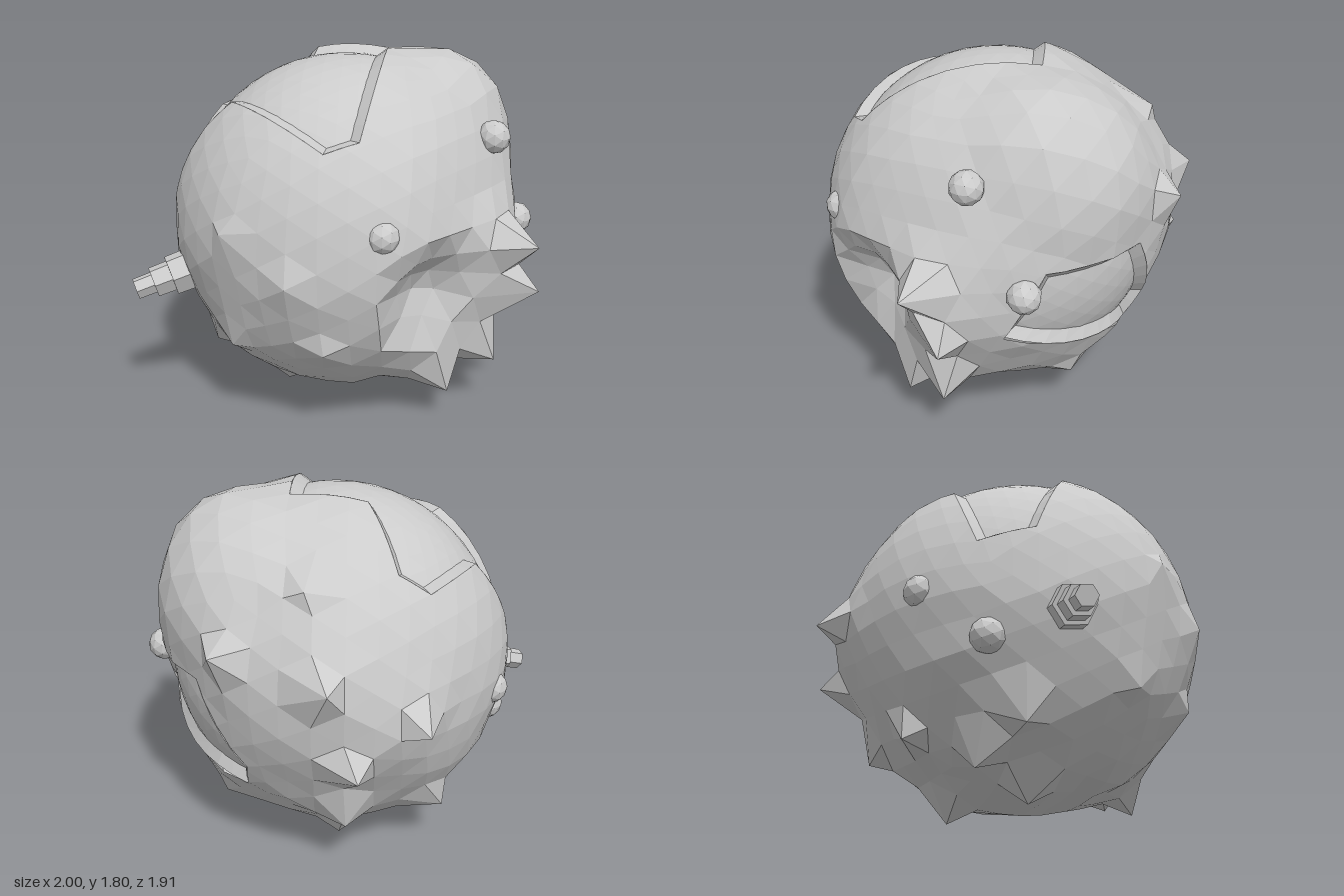
import * as THREE from 'three';
import { mergeVertices } from 'three/addons/utils/BufferGeometryUtils.js';

const V = (x, y, z) => new THREE.Vector3(x, y, z);
const CENTER = V(-0.09, 0.93, 0.03);
const OUTER = 0.88, INNER = 0.828, BEVEL = 0.055;
const mat = new THREE.MeshStandardMaterial({ color: 0xcccccc, flatShading: true, side: THREE.DoubleSide });

// spike tips, in model space
const SPIKES = [
  [1.0, 0.95, 0], [0.94, 0.66, -0.16], [0.75, 0.27, -0.08], [0.63, 0.17, 0.18],
  [-0.31, 0, 0.26], [-0.31, 0, -0.25], [-0.62, 0.1, 0.22], [-0.8, 0.25, -0.06],
  [-0.6, 0.25, 0.5], [-0.2, 0.45, 0.82], [-0.15, 1.06, 0.94], [0.2, 0.86, 0.91],
  [0.3, 0.5, 0.76], [-0.97, 0.9, -0.53], [-0.63, 1.13, -0.84], [-0.74, 0.7, -0.76],
  [-0.4, 1.5, -0.68], [-0.07, 1.2, -0.95], [-0.55, 0.3, -0.56], [0.2, 0.22, -0.53],
].map(p => V(...p).sub(CENTER));

// broad hills and hollows: direction, height, angular reach
const SWELLS = [
  [V(0.38, 0.62, -0.68).normalize(), 0.14, 0.6],
  [V(0.52, 0.76, -0.38).normalize(), 0.05, 0.4],
  [V(-0.5, 0.25, -0.83).normalize(), 0.045, 0.65],
  [V(0.95, 0.25, 0.1).normalize(), -0.045, 0.5],
  [V(0.15, -1, 0.05).normalize(), -0.04, 0.5],
  [V(0.82, -0.22, 0.36).normalize(), -0.2, 0.36],
];

// recess outlines as directions from the centre
const topOutline = [
  [-0.636, -0.386], [-0.307, -0.156], [0.09, -0.31], [0.51, 0.59], [0.38, 0.725],
  [-0.34, 0.59], [-0.69, 0.69], [-0.88, 0.455], [-0.784, 0.182], [-0.773, -0.29],
].map(([x, z]) => V(x, Math.sqrt(1 - x * x - z * z), z));
const backOutline = [
  [0.762, 0.09, -0.639], [0.231, 0.085, -0.969], [-0.053, -0.39, -0.92],
  [0.009, -0.55, -0.839], [0.23, -0.51, -0.845], [0.85, -0.31, -0.44],
].map(p => V(...p).normalize());
const OUTLINES = [topOutline, backOutline];

function swell(d) {
  let h = 0;
  for (const [c, amount, reach] of SWELLS) {
    const t = d.angleTo(c) / reach;
    if (t < 1) h += amount * (1 - t * t) ** 1.4;
  }
  return h;
}

// geodesic ball as merged points and an index
function ball(detail) {
  const g = new THREE.IcosahedronGeometry(1, detail);
  g.deleteAttribute('normal');
  g.deleteAttribute('uv');
  const m = mergeVertices(g, 1e-4), p = m.attributes.position;
  const dirs = Array.from({ length: p.count }, (_, i) => V(0, 0, 0).fromBufferAttribute(p, i).normalize());
  return { dirs, index: Array.from(m.index.array) };
}

function meshFromPolygons(name, polygons) {
  const pts = [];
  for (const p of polygons)
    for (let i = 1; i < p.length - 1; i++) pts.push(p[0], p[i], p[i + 1]);
  const g = new THREE.BufferGeometry().setFromPoints(pts);
  g.computeVertexNormals();
  const mesh = new THREE.Mesh(g, mat);
  mesh.name = name;
  return mesh;
}

function trianglesOf(points, index) {
  const out = [];
  for (let i = 0; i < index.length; i += 3) out.push([0, 1, 2].map(k => points[index[i + k]]));
  return out;
}

// split an outline into triangular cones, each given by three inward plane normals
function conesOf(outline) {
  const mid = outline.reduce((s, d) => s.add(d), V(0, 0, 0)).normalize();
  const u = V(0, 0, 1).cross(mid).normalize(), w = mid.clone().cross(u);
  const flat = outline.map(d => new THREE.Vector2(d.dot(u), d.dot(w)).divideScalar(d.dot(mid)));
  return THREE.ShapeUtils.triangulateShape(flat, []).map(t =>
    [0, 1, 2].map(i => {
      const [a, b, c] = [0, 1, 2].map(k => outline[t[(i + k) % 3]]);
      const n = a.clone().cross(b).normalize();
      return n.dot(c) < 0 ? n.negate() : n;
    }));
}

function clip(poly, n, sign) {
  const out = [];
  poly.forEach((a, i) => {
    const b = poly[(i + 1) % poly.length];
    const da = sign * n.dot(a), db = sign * n.dot(b);
    if (da >= 0) out.push(a);
    if (da * db < 0) out.push(a.clone().lerp(b, da / (da - db)));
  });
  return out.length > 2 ? out : [];
}

// remove a cone from one polygon, returning the remaining pieces
function subtract(poly, cone) {
  const kept = [];
  let rest = poly;
  for (const n of cone) {
    const outside = clip(rest, n, -1);
    if (outside.length) kept.push(outside);
    rest = clip(rest, n, 1);
    if (!rest.length) return [poly];
  }
  return kept;
}

function makeShell() {
  const { dirs, index } = ball(6);
  const tips = SPIKES.map(s => s.clone().normalize());
  const points = dirs.map((d, i) => {
    let r = OUTER + swell(d);
    tips.forEach((t, k) => {
      const a = d.angleTo(t) / 0.3;
      if (a < 1) r += 0.35 * (SPIKES[k].length() - OUTER) * (1 - a);
    });
    // light roughness over the lower half
    if (d.y < 0.15) r += 0.01 * Math.sin(i * 12.9898) * Math.min(1, 0.45 - d.y);
    return d.clone().multiplyScalar(r);
  });
  // pull the nearest point out to each tip
  tips.forEach((t, k) => {
    let best = 0;
    dirs.forEach((d, i) => { if (d.dot(t) > dirs[best].dot(t)) best = i; });
    points[best].copy(SPIKES[k]);
  });
  let polys = trianglesOf(points, index);
  for (const cone of OUTLINES.flatMap(conesOf)) polys = polys.flatMap(p => subtract(p, cone));
  return meshFromPolygons('spikyShell', polys);
}

function makeCore() {
  const { dirs, index } = ball(9);
  const pts = dirs.map(d => d.clone().multiplyScalar(INNER + Math.min(0, swell(d))));
  return meshFromPolygons('innerBall', trianglesOf(pts, index));
}

// move each corner of an outline inward, keeping an even bevel width
function inset(outline) {
  const count = outline.length;
  const normals = outline.map((a, i) => a.clone().cross(outline[(i + 1) % count]));
  const mid = outline.reduce((s, d) => s.add(d), V(0, 0, 0));
  const turn = Math.sign(normals.reduce((s, n) => s + n.dot(mid), 0));
  normals.forEach(n => n.normalize().multiplyScalar(turn));
  return outline.map((d, i) => {
    const p = normals[(i + count - 1) % count], n = normals[i];
    return d.clone().addScaledVector(p.clone().add(n), BEVEL / (1 + p.dot(n))).normalize();
  });
}

// sloping wall from the shell down to the inner ball along an outline
function makeWall(outline) {
  const quads = [], low = inset(outline);
  outline.forEach((a, i) => {
    const j = (i + 1) % outline.length;
    const n = Math.max(1, Math.ceil(a.angleTo(outline[j]) / 0.13));
    const top = k => {
      const d = a.clone().lerp(outline[j], k / n).normalize();
      return d.multiplyScalar(OUTER - 0.002 + swell(d));
    };
    const foot = k => low[i].clone().lerp(low[j], k / n).setLength(INNER - 0.004);
    for (let k = 0; k < n; k++) quads.push([foot(k), foot(k + 1), top(k + 1), top(k)]);
  });
  return meshFromPolygons('recessWall', quads);
}

export function createModel() {
  const group = new THREE.Group();
  const body = new THREE.Group();
  body.name = 'body';
  body.position.copy(CENTER);
  body.add(makeShell(), makeCore(), ...OUTLINES.map(makeWall));
  group.add(body);

  // round knobs, partly sunk into the shell
  for (const p of [[0.65, 1.4, -0.17], [0.51, 1.08, 0.59], [0.65, 0.91, -0.455], [-0.92, 0.86, 0.15], [-0.78, 0.61, 0.43]]) {
    const knob = new THREE.Mesh(new THREE.IcosahedronGeometry(0.083, 1), mat);
    knob.name = 'knob';
    knob.position.set(...p);
    group.add(knob);
  }

  // stepped six-sided nozzle
  const nozzle = new THREE.Group();
  nozzle.name = 'steppedNozzle';
  [0.13, 0.105, 0.08, 0.055].forEach((r, i) => {
    const step = new THREE.Mesh(new THREE.CylinderGeometry(r * 0.97, r, 0.1, 6), mat);
    step.name = 'nozzleStep';
    step.position.y = 0.05 + i * 0.092;
    nozzle.add(step);
  });
  nozzle.position.set(-0.515, 0.755, 0.64);
  nozzle.quaternion.setFromUnitVectors(V(0, 1, 0), V(-0.57, -0.27, 0.77).normalize());
  group.add(nozzle);
  return group;
}
